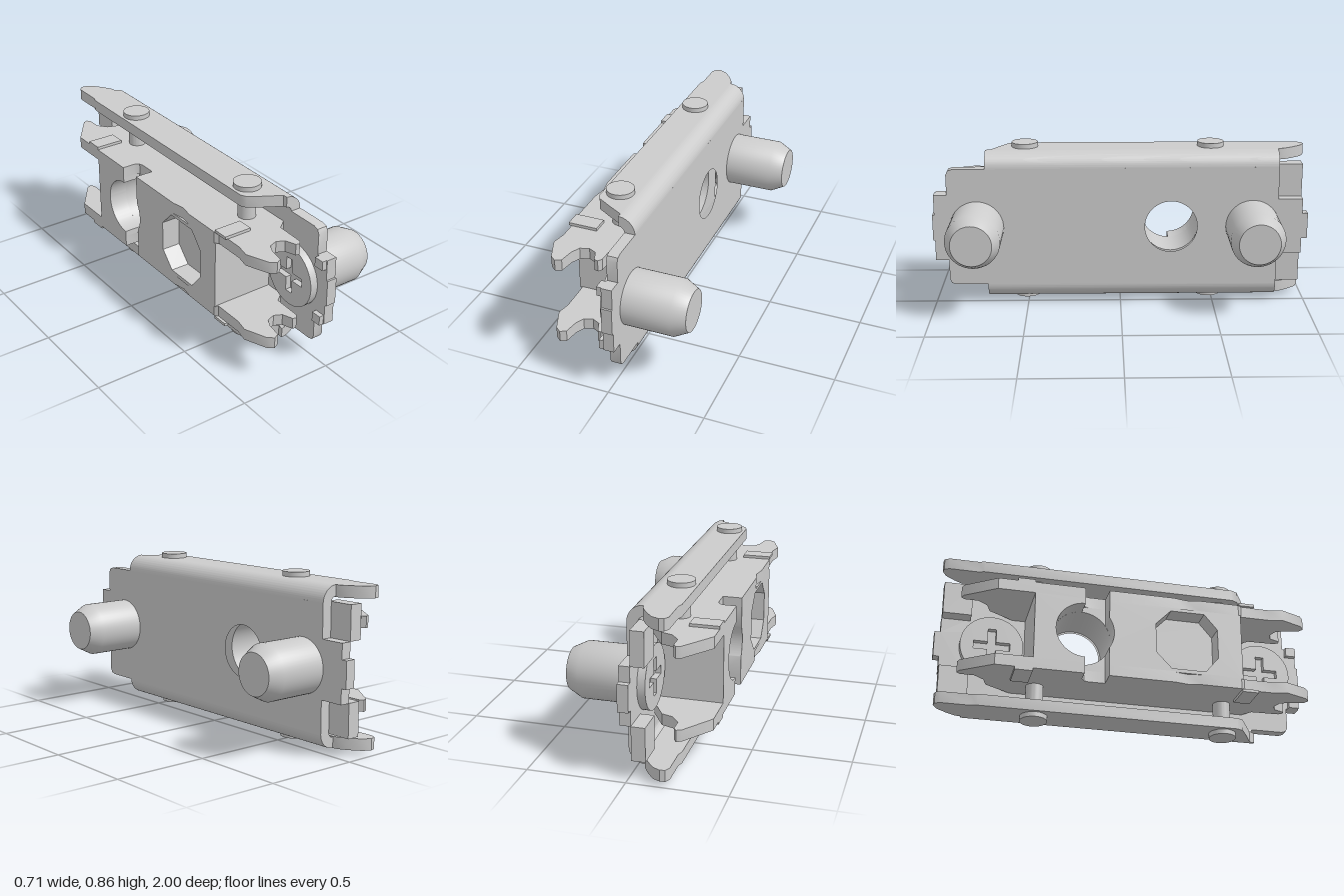
import * as THREE from 'three';
import { toCreasedNormals } from 'three/addons/utils/BufferGeometryUtils.js';

const MID = 0.43; // height of the horizontal symmetry plane
const material = new THREE.MeshStandardMaterial({ color: 0xcccccc });

export function createModel() {
  const group = new THREE.Group();

  const add = (name, geometry) => {
    const mesh = new THREE.Mesh(toCreasedNormals(geometry, 0.6), material);
    mesh.name = name;
    group.add(mesh);
    return mesh;
  };
  const box = (name, x0, x1, y0, y1, z0, z1) => {
    const g = new THREE.BoxGeometry(x1 - x0, y1 - y0, z1 - z0);
    add(name, g.translate((x0 + x1) / 2, (y0 + y1) / 2, (z0 + z1) / 2));
  };
  const polygon = (pts) => new THREE.Shape(pts.map(([a, b]) => new THREE.Vector2(a, b)));
  const extrude = (shape, depth) =>
    new THREE.ExtrudeGeometry(shape, { depth, bevelEnabled: false, curveSegments: 24 });
  // Shape drawn in (-z, y), extruded from x0 to x1
  const alongX = (name, shape, x0, x1) =>
    add(name, extrude(shape, x1 - x0).rotateY(Math.PI / 2).translate(x0, 0, 0));
  // Shape drawn in (x, z), extruded from y0 to y1
  const alongY = (name, shape, y0, y1) =>
    add(name, extrude(shape, y1 - y0).rotateX(Math.PI / 2).translate(0, y1, 0));
  // Calls fn for a height range and its mirror about the middle
  const mirrored = (y0, y1, fn) => {
    fn(y0, y1, 'upper');
    fn(2 * MID - y1, 2 * MID - y0, 'lower');
  };
  const circle = (z, r) => new THREE.Path().absarc(-z, MID, r, 0, Math.PI * 2, true);

  // Base plate: upper half outline as [z, y], mirrored for the lower half
  const half = [
    [1, 0.5], [0.99, 0.5], [0.99, 0.61], [0.92, 0.61], [0.92, 0.72], [0.91, 0.742], [0.885, 0.75],
    [-0.84, 0.755], [-0.84, 0.58], [-0.97, 0.58], [-0.97, 0.5], [-1, 0.5],
  ];
  const outline = [...half, ...half.map(([z, y]) => [z, 2 * MID - y]).reverse()];
  const plate = polygon(outline.map(([z, y]) => [-z, y]));
  plate.holes.push(circle(-0.27, 0.14));
  alongX('basePlate', plate, -0.02, 0.035);

  // Rounded bends between base plate and outer flanges
  for (const s of [1, -1]) {
    const bend = new THREE.Shape();
    const a = s * Math.PI / 2, cy = MID + s * 0.32;
    bend.absarc(-0.05, cy, 0.085, 0, a, s < 0);
    bend.absarc(-0.05, cy, 0.03, a, 0, s > 0);
    add('channelBend', extrude(bend, 1.555).translate(0, 0, -0.84));
  }

  const outerFlange = polygon([
    [-0.05, -0.84], [-0.055, -0.87], [-0.085, -0.92], [-0.125, -0.97], [-0.165, -0.99],
    [-0.19, -0.985], [-0.205, -0.96], [-0.205, -0.81], [-0.215, -0.78], [-0.215, 0.57],
    [-0.2, 0.6], [-0.12, 0.65], [-0.05, 0.69], [-0.05, 0.7],
  ]);
  // Inner lever side plate with a tapered tail, a notch and a forked nose
  const innerFlange = polygon([
    [-0.02, -0.6], [-0.1, -0.73], [-0.16, -0.75], [-0.2, -0.8], [-0.2, -0.87], [-0.215, -0.89],
    [-0.24, -0.88], [-0.355, -0.72], [-0.355, -0.27], [-0.285, -0.27], [-0.262, -0.255],
    [-0.255, -0.235], [-0.255, -0.145], [-0.355, -0.145], [-0.355, 0.2], [-0.342, 0.27],
    [-0.355, 0.34], [-0.355, 0.55], [-0.34, 0.57], [-0.34, 0.73], [-0.355, 0.8], [-0.31, 0.915],
    [-0.28, 0.94], [-0.25, 0.925], [-0.237, 0.85], [-0.215, 0.805], [-0.17, 0.79],
    [-0.13, 0.81], [-0.11, 0.865], [-0.09, 0.87], [-0.075, 0.85], [-0.07, 0.7], [-0.02, 0.66],
  ]);

  mirrored(0.775, 0.835, (y0, y1, side) => alongY(side + 'OuterFlange', outerFlange, y0, y1));
  mirrored(0.61, 0.67, (y0, y1, side) => alongY(side + 'InnerFlange', innerFlange, y0, y1));
  mirrored(0.67, 0.685, (y0, y1, side) => {
    box(side + 'FrontPad', -0.355, -0.205, y0, y1, 0.555, 0.64);
    box(side + 'RearPad', -0.355, -0.205, y0, y1, -0.62, -0.53);
  });
  mirrored(0.58, 0.757, (y0, y1, side) =>
    box(side + 'RearCorner', -0.09, -0.02, y0, y1, -0.97, -0.82));
  mirrored(0.56, 0.61, (y0, y1, side) =>
    box(side + 'FrontEar', -0.045, -0.02, y0, y1, 0.93, 0.985));

  // Rivets joining the outer and inner flanges
  for (const z of [0.51, -0.485]) {
    const rivet = (name, r) => (y0, y1, side) =>
      add(side + name, new THREE.CylinderGeometry(r, r, y1 - y0, 40)
        .translate(-0.13, (y0 + y1) / 2, z));
    mirrored(0.835, 0.86, rivet('RivetHead', 0.07));
    mirrored(0.67, 0.775, rivet('RivetShaft', 0.045));
  }

  // Inner lever core, bored through
  const R = 0.15, yLo = 0.245, yHi = 0.61;
  const core = polygon([[-0.56, yLo], [0.53, yLo], [0.53, yHi], [-0.56, yHi]]);
  core.holes.push(circle(-0.27, R));
  alongX('leverCore', core, -0.255, -0.02);

  // Rear part of the lever face, ending in a half bore at the notch
  const rearFace = new THREE.Shape();
  rearFace.moveTo(0.53, yLo).lineTo(0.53, yHi).lineTo(0.27, yHi);
  rearFace.absarc(0.27, MID, R, Math.PI / 2, -Math.PI / 2, true);
  rearFace.lineTo(0.27, yLo);
  alongX('rearLeverFace', rearFace, -0.355, -0.255);

  // Front part of the lever face with an eight-sided window
  const a = Math.acos(-0.125 / R);
  const frontFace = new THREE.Shape();
  frontFace.moveTo(-0.56, yLo).lineTo(0.145, yLo);
  frontFace.absarc(0.27, MID, R, -a, a, true);
  frontFace.lineTo(0.145, yHi).lineTo(-0.56, yHi);
  frontFace.holes.push(polygon([
    [-0.43, 0.35], [-0.36, 0.265], [-0.18, 0.265], [-0.1, 0.35],
    [-0.1, 0.51], [-0.18, 0.592], [-0.36, 0.592], [-0.43, 0.51],
  ]));
  alongX('frontLeverFace', frontFace, -0.355, -0.255);

  // Chamfered pins with cross-slotted heads behind the plate
  for (const z of [0.765, -0.705]) {
    const profile = [[0, -0.03], [0.143, -0.03], [0.143, 0.285], [0.107, 0.355], [0, 0.355]];
    const pin = new THREE.LatheGeometry(profile.map(([r, h]) => new THREE.Vector2(r, h)), 48);
    add('pin', pin.rotateZ(-Math.PI / 2).translate(0, MID, z));
    const head = new THREE.Shape().absarc(-z, MID, 0.165, 0, Math.PI * 2, false);
    const w = 0.022, l = 0.095;
    head.holes.push(polygon([
      [w, w], [l, w], [l, -w], [w, -w], [w, -l], [-w, -l],
      [-w, -w], [-l, -w], [-l, w], [-w, w], [-w, l], [w, l],
    ].map(([u, v]) => [u - z, v + MID])));
    alongX('pinHead', head, -0.06, -0.02);
  }

  return group;
}
